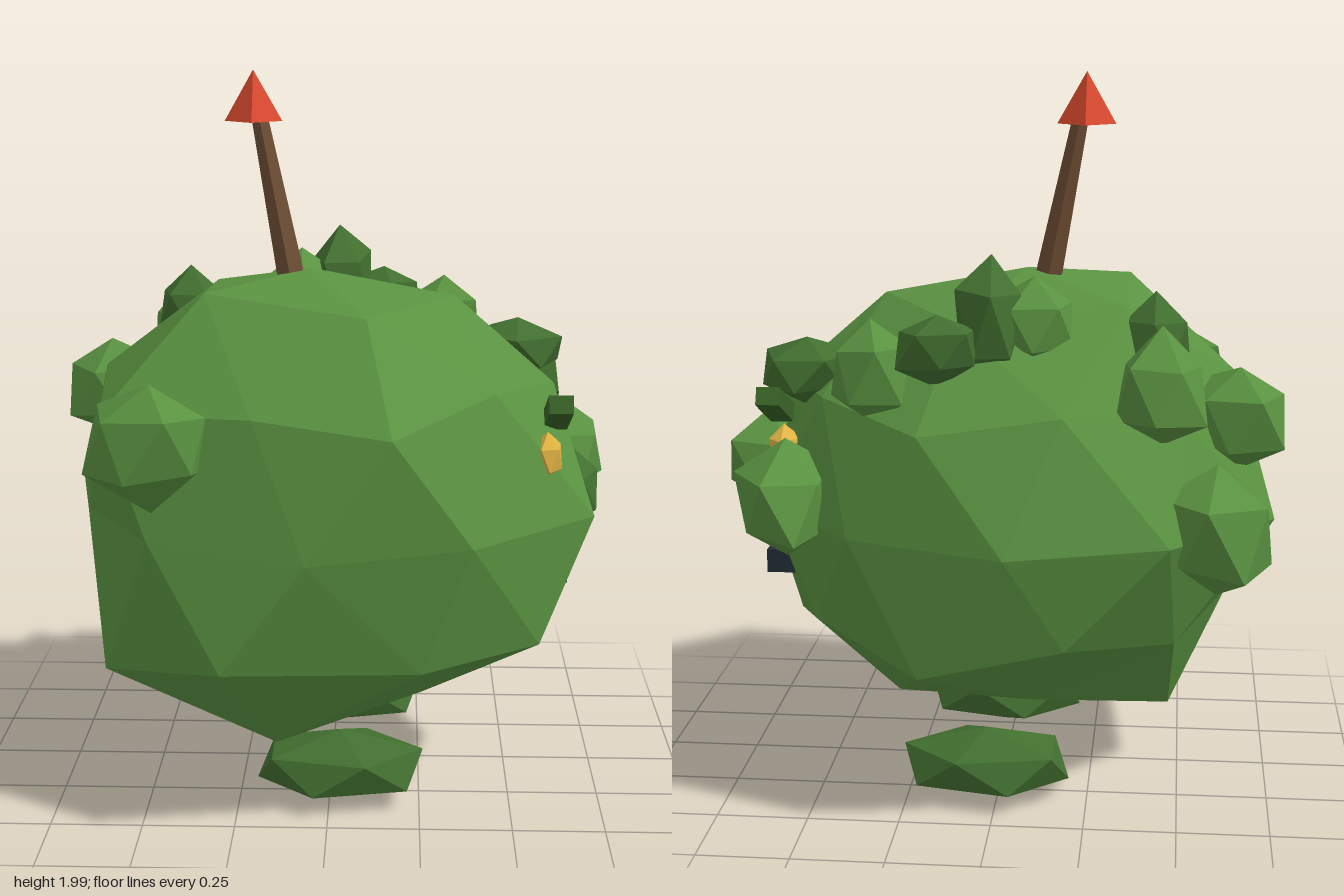
import * as THREE from 'three';

const paint = (name, color) => {
  const m = new THREE.MeshStandardMaterial({ color, flatShading: true });
  m.name = name;
  return m;
};

// Faceted ball with a corner pointing straight up
const ball = (detail) =>
  new THREE.IcosahedronGeometry(1, detail).rotateZ(-Math.atan2(0.5257, 0.8507));

// Push each corner in or out a little, the same for every face sharing it
function roughen(geo, seed, amount) {
  const at = geo.attributes.position;
  const v = new THREE.Vector3();
  for (let i = 0; i < at.count; i++) {
    v.fromBufferAttribute(at, i);
    const wobble = Math.sin(seed * 5.3 + v.x * 7.1 + v.y * 11.7 + v.z * 9.2);
    v.multiplyScalar(1 + amount * wobble);
    at.setXYZ(i, v.x, v.y, v.z);
  }
  return geo;
}

export function createModel() {
  const model = new THREE.Group();
  model.name = 'bushCreature';
  const leaf = paint('leafGreen', 0x5a9241);
  const dark = paint('darkGreen', 0x426f30);
  const brow = paint('browGreen', 0x3a6428);
  const gold = paint('eyeGold', 0xdfb344);
  const ink = paint('mouthDark', 0x222c36);
  const bark = paint('barkBrown', 0x6f4e35);
  const red = paint('tipRed', 0xdb4a2f);

  const add = (name, geometry, material, pos = [0, 0, 0]) => {
    const mesh = new THREE.Mesh(geometry, material);
    mesh.name = name;
    mesh.position.set(...pos);
    model.add(mesh);
    return mesh;
  };

  // Body: squashed ball whose nearest corners are pulled to a few uneven points
  const pulls = [
    [-0.06, 1.46, 0], [0.34, 1.385, 0], [0.1, 1.38, 0.37], [-0.34, 1.42, 0.21],
    [-0.34, 1.39, -0.24], [-0.6, 1.13, 0.41],
    [0.62, 1.14, 0], [0.17, 1.12, 0.65], [0.44, 1.18, 0.36], [-0.64, 1.18, -0.02],
    [0.72, 0.82, 0.25], [0.38, 0.82, 0.58], [-0.05, 0.8, 0.68], [-0.47, 0.82, 0.53],
    [-0.67, 0.82, 0.2], [-0.75, 0.81, -0.22], [-0.47, 0.82, -0.58], [-0.05, 0.81, -0.69],
    [0.37, 0.82, -0.56], [0.57, 0.49, 0.36], [0.6, 0.45, 0], [-0.27, 0.5, 0.66],
    [0.25, 0.47, 0.55], [-0.6, 0.43, 0.42], [0.18, 0.46, -0.61], [-0.47, 0.19, 0],
    [-0.14, 0.215, 0.4], [0.26, 0.29, 0.2], [-0.1, 0.31, -0.33],
  ].map((p) => new THREE.Vector3(...p));
  const bodyGeo = ball(1).scale(0.69, 0.63, 0.69).translate(-0.01, 0.82, 0);
  const at = bodyGeo.attributes.position;
  const v = new THREE.Vector3();
  for (let i = 0; i < at.count; i++) {
    v.fromBufferAttribute(at, i);
    const near = pulls.reduce((a, b) => (a.distanceTo(v) < b.distanceTo(v) ? a : b));
    if (near.distanceTo(v) < 0.18) at.setXYZ(i, near.x, near.y, near.z);
  }
  bodyGeo.computeVertexNormals();
  add('body', bodyGeo, leaf);

  // Leaf clumps: position, half sizes, material
  const clumps = [
    [[-0.455, 1.08, 0.52], [0.18, 0.17, 0.14], leaf],
    [[-0.65, 1.09, -0.19], [0.15, 0.15, 0.21], leaf],
    [[-0.59, 0.83, -0.44], [0.16, 0.19, 0.17], leaf],
    [[-0.44, 1.2, -0.42], [0.13, 0.16, 0.13], leaf],
    [[-0.42, 1.31, -0.23], [0.11, 0.11, 0.11], dark],
    [[-0.1, 1.35, -0.29], [0.12, 0.12, 0.15], leaf],
    [[0.01, 1.36, -0.33], [0.1, 0.19, 0.16], dark],
    [[0.14, 1.31, -0.46], [0.12, 0.1, 0.09], dark],
    [[0.32, 1.24, -0.42], [0.12, 0.15, 0.12], leaf],
    [[0.56, 0.87, -0.38], [0.15, 0.17, 0.17], leaf],
    [[0.65, 0.92, -0.1], [0.14, 0.14, 0.13], leaf],
    [[0.66, 0.84, 0.02], [0.11, 0.12, 0.13], dark],
    [[0.53, 1.2, -0.2], [0.14, 0.09, 0.15], dark],
  ];
  clumps.forEach(([pos, size, mat], i) => {
    const geo = roughen(ball(0).rotateY(i * 0.7), i, 0.12).scale(...size);
    add('leafClump' + (i + 1), geo, mat, pos);
  });

  // Feet, eyes and slanted brows, one on each side
  for (const [side, s] of [['front', 1], ['back', -1]]) {
    add(side + 'Foot', ball(0).scale(0.257, 0.1, 0.17), dark, [0.03, 0.11, s * 0.29]);
    add(side + 'Eye', ball(0).rotateY(0.4).scale(0.045, 0.068, 0.075), gold,
      [0.587, 0.99, s * 0.262]);
    add(side + 'Brow', new THREE.BoxGeometry(0.065, 0.05, 0.21), brow,
      [0.615, 1.105, s * 0.237]).rotation.x = -s * 0.43;
  }

  // Mouth
  add('mouth', new THREE.BoxGeometry(0.08, 0.065, 0.45), ink, [0.613, 0.655, 0]);

  // Leaning stalk with a pointed tip
  const foot = new THREE.Vector3(-0.115, 1.43, 0.005);
  const top = new THREE.Vector3(-0.21, 1.9, -0.055);
  const dir = top.clone().sub(foot);
  const stalk = add('stalk', new THREE.CylinderGeometry(0.024, 0.042, dir.length(), 6), bark,
    foot.clone().add(top).multiplyScalar(0.5).toArray());
  stalk.quaternion.setFromUnitVectors(new THREE.Vector3(0, 1, 0), dir.normalize());
  add('stalkTip', new THREE.ConeGeometry(0.08, 0.14, 4), red, [-0.222, 1.93, -0.06]);

  return model;
}
